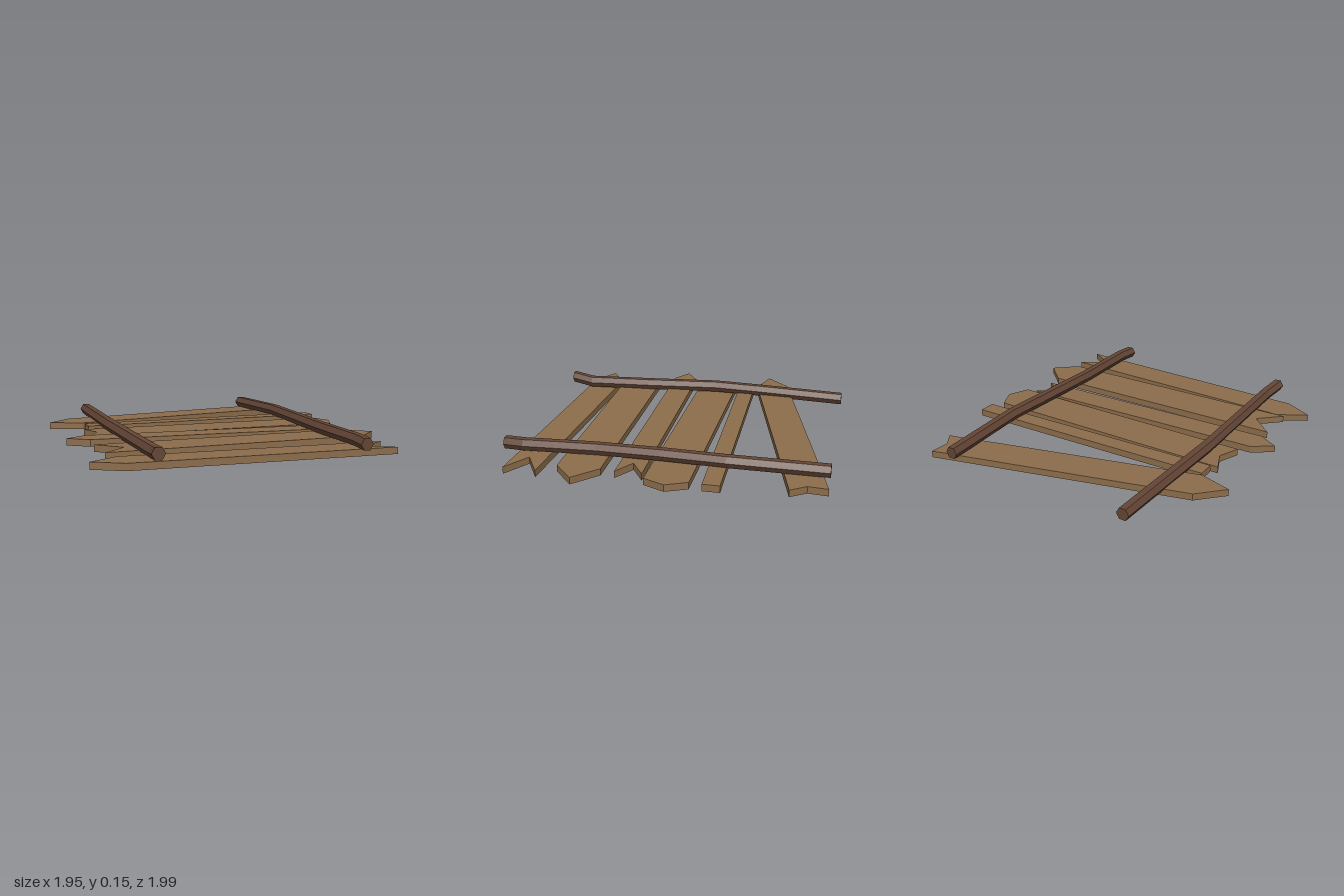
import * as THREE from 'three';

const THICKNESS = 0.043;

// Plank outlines as [x, z] corners, with underside height at the left and right ends
const PLANKS = [
  { y: [0.012, 0.002], pts: [[-0.96, 0.76], [-0.78, 0.655], [0.885, 0.695], [0.71, 0.8], [0.88, 0.9], [-0.78, 0.86]] },
  { y: [0.03, 0.022], pts: [[-0.845, 0.35], [0.82, 0.315], [0.97, 0.45], [0.825, 0.58], [-0.84, 0.62], [-0.7, 0.49]] },
  { y: [0.045, 0.015], pts: [[-0.975, 0.175], [-0.845, 0.09], [0.825, 0.065], [0.695, 0.15], [0.825, 0.23], [-0.845, 0.255]] },
  { y: [0.03, 0.02], pts: [[-0.785, -0.225], [0.885, -0.225], [0.945, -0.095], [0.885, 0.04], [-0.785, 0.04], [-0.73, -0.095]] },
  { y: [0.045, 0.034], pts: [[-0.75, -0.365], [0.92, -0.41], [0.92, -0.305], [-0.75, -0.255]] },
  { y: [0.05, 0.018], pts: [[-0.97, -0.45], [-0.82, -0.6], [0.805, -1], [0.795, -0.88], [0.86, -0.785], [-0.765, -0.385]] },
];

// Pole centre lines from front to back
const POLES = {
  rightPole: [[-0.635, 0.118, 0.98], [-0.61, 0.098, 0.83], [-0.625, 0.105, 0.4], [-0.645, 0.116, -0.1], [-0.635, 0.112, -0.4], [-0.61, 0.1, -1]],
  leftPole: [[0.617, 0.092, 0.99], [0.632, 0.096, 0.86], [0.62, 0.104, 0.4], [0.635, 0.11, 0], [0.656, 0.112, -0.4], [0.635, 0.1, -1]],
};

// Flat cut board, tilted by shearing its height along x
function plankGeometry({ y, pts }) {
  const shape = new THREE.Shape(pts.map(([x, z]) => new THREE.Vector2(x, -z)));
  const geo = new THREE.ExtrudeGeometry(shape, { depth: THICKNESS, bevelEnabled: false });
  geo.rotateX(-Math.PI / 2);
  const p = geo.attributes.position;
  for (let i = 0; i < p.count; i++) {
    p.setY(i, p.getY(i) + THREE.MathUtils.mapLinear(p.getX(i), -0.95, 0.95, y[0], y[1]));
  }
  geo.computeVertexNormals();
  return geo;
}

// Six-sided pole whose rings are shifted onto the bent centre line
function poleGeometry(path) {
  const n = path.length - 1;
  const geo = new THREE.CylinderGeometry(0.041, 0.041, 1, 6, n, false, Math.PI / 6);
  geo.rotateX(Math.PI / 2);
  const p = geo.attributes.position;
  for (let i = 0; i < p.count; i++) {
    const [x, y, z] = path[Math.round((0.5 - p.getZ(i)) * n)];
    p.setXYZ(i, p.getX(i) + x, p.getY(i) + y, z);
  }
  geo.computeVertexNormals();
  return geo;
}

export function createModel() {
  const group = new THREE.Group();
  group.name = 'woodenPlatform';
  const plankWood = new THREE.MeshStandardMaterial({ color: 0x8c6d4b, flatShading: true });
  plankWood.name = 'plankWood';
  const poleWood = new THREE.MeshStandardMaterial({ color: 0x634535, flatShading: true });
  poleWood.name = 'poleWood';

  const add = (name, geo, mat) => {
    const mesh = new THREE.Mesh(geo, mat);
    mesh.name = name;
    group.add(mesh);
  };
  PLANKS.forEach((plank, i) => add(`plank${i + 1}`, plankGeometry(plank), plankWood));
  for (const [name, path] of Object.entries(POLES)) add(name, poleGeometry(path), poleWood);
  return group;
}
